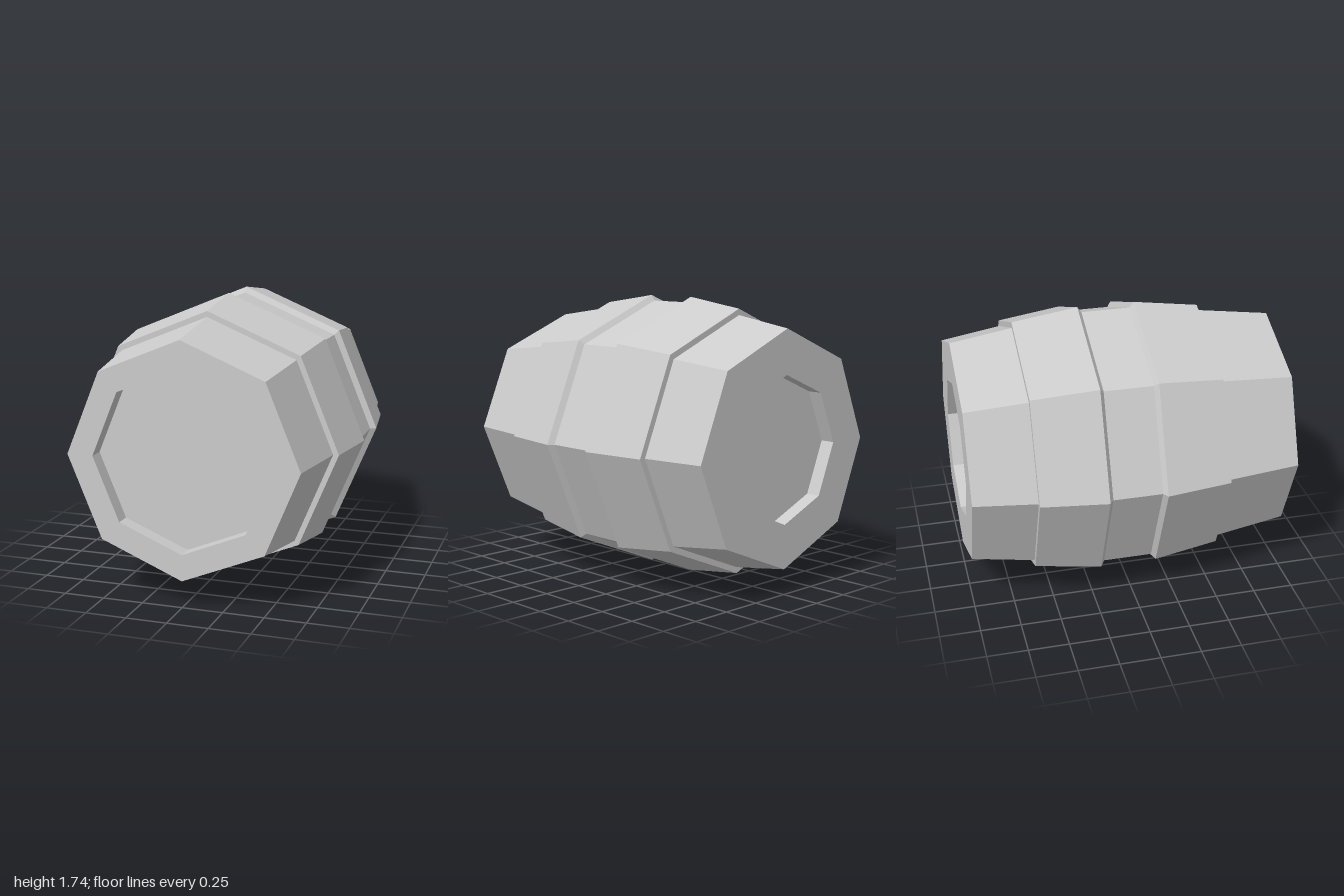
import * as THREE from 'three';

const SIDES = 8;
const RADIUS = 0.87; // widest radius, so the barrel rests on y = 0

const material = new THREE.MeshStandardMaterial({ color: 0xcccccc, flatShading: true });

// Octagonal ring swept from [radius, z] points, listed from back to front
function ring(name, profile) {
  const points = profile.map(([r, z]) => new THREE.Vector2(r, z));
  const geometry = new THREE.LatheGeometry(points, SIDES);
  geometry.rotateX(Math.PI / 2); // lay the axis along z
  const mesh = new THREE.Mesh(geometry, material);
  mesh.name = name;
  return mesh;
}

export function createModel() {
  const barrel = new THREE.Group();
  barrel.name = 'barrel';

  barrel.add(
    // recessed lids
    ring('backLid', [[0, -0.91], [0.445, -0.91], [0.445, -1]]),
    ring('frontLid', [[0.548, 1], [0.548, 0.9], [0, 0.9]]),
    // tapered ends with their rims
    ring('backEnd', [[0.445, -1], [0.715, -1], [0.775, -0.62]]),
    ring('frontEnd', [[0.775, 0.54], [0.708, 1], [0.548, 1]]),
    // raised bands, stepped at the outside and bevelled toward the middle
    ring('backBand', [[0.775, -0.62], [0.813, -0.62], [RADIUS, -0.215], [0.835, -0.19]]),
    ring('frontBand', [[0.835, 0.11], [RADIUS, 0.135], [0.81, 0.54], [0.775, 0.54]]),
    // straight waist between the bands
    ring('waist', [[0.835, -0.19], [0.835, 0.11]])
  );

  barrel.children.forEach((part) => { part.position.y = RADIUS; });

  const model = new THREE.Group();
  model.add(barrel);
  return model;
}
